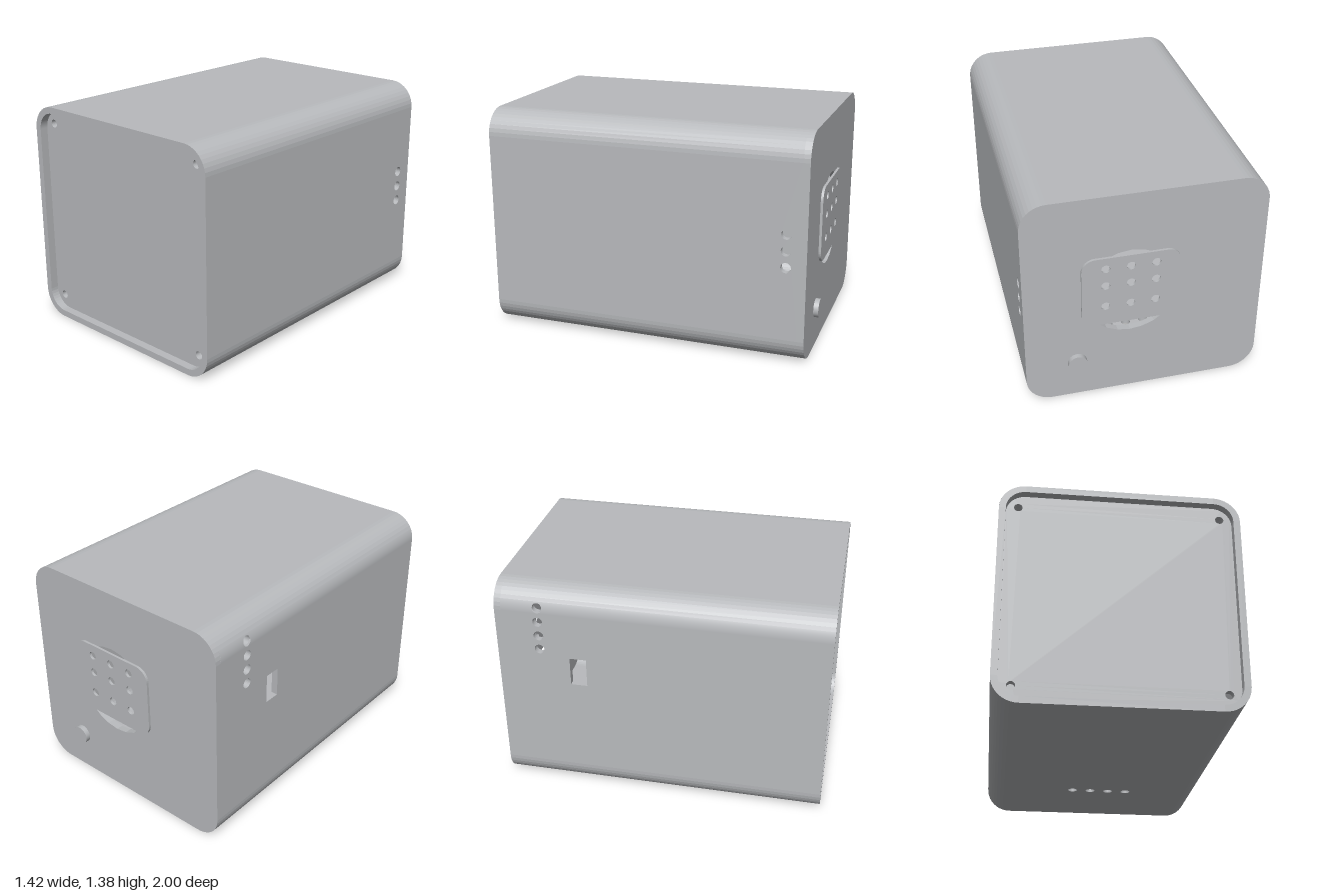
import * as THREE from 'three';
import { ParametricGeometry } from 'three/addons/geometries/ParametricGeometry.js';

const HW = 0.71, H = 1.375, R = 0.155, T = 0.04;   // half width, height, corner radius, wall
const BACK = -0.97, WALL0 = BACK + T, FRONT = 1;
const rad = THREE.MathUtils.degToRad;

export function createModel() {
  const model = new THREE.Group();
  const grey = new THREE.MeshStandardMaterial({ color: 0xb8babd, side: THREE.DoubleSide });
  grey.name = 'caseGrey';

  const add = (name, geo, x = 0, y = 0, z = 0) => {
    const mesh = new THREE.Mesh(geo, grey);
    mesh.name = name;
    mesh.position.set(x, y, z);
    model.add(mesh);
    return mesh;
  };
  const extrude = (shape, depth) =>
    new THREE.ExtrudeGeometry(shape, { depth, bevelEnabled: false, curveSegments: 5 });

  // Rounded rectangle; r = 0 gives a plain one
  const rect = (x0, x1, y0, y1, r) => {
    const s = new THREE.Shape();
    if (!r) return s.moveTo(x0, y0).lineTo(x1, y0).lineTo(x1, y1).lineTo(x0, y1).closePath();
    const q = Math.PI / 2;
    s.absarc(x1 - r, y1 - r, r, 0, q);
    s.absarc(x0 + r, y1 - r, r, q, 2 * q);
    s.absarc(x0 + r, y0 + r, r, 2 * q, 3 * q);
    s.absarc(x1 - r, y0 + r, r, 3 * q, 4 * q);
    return s.closePath();
  };
  const punch = (shape, x, y, r) => {
    const points = Array.from({ length: 24 }, (_, i) => {
      const a = -i * Math.PI / 12;
      return new THREE.Vector2(x + r * Math.cos(a), y + r * Math.sin(a));
    });
    shape.holes.push(new THREE.Path(points));
  };

  // Right wall of the view from +x: three vents
  const leftWall = rect(-FRONT, -WALL0, R, H - R);
  for (const y of [0.6, 0.7, 0.8]) punch(leftWall, 0.85, y, 0.031);
  add('leftWall', extrude(leftWall, T), HW - T).rotation.y = Math.PI / 2;

  // Opposite wall: three indicator holes and a port slot
  const rightWall = rect(WALL0, FRONT, R, H - R);
  for (const y of [0.98, 1.07, 1.162]) punch(rightWall, -0.71, y, 0.03);
  rightWall.holes.push(rect(-0.53, -0.43, 0.755, 0.935));
  add('rightWall', extrude(rightWall, T), -HW + T).rotation.y = -Math.PI / 2;

  // Top and bottom; a row of four holes underneath
  const topWall = rect(R - HW, HW - R, -FRONT, -WALL0);
  add('topWall', extrude(topWall, T), 0, H - T).rotation.x = -Math.PI / 2;
  const bottomWall = rect(R - HW, HW - R, WALL0, FRONT);
  for (let i = 0; i < 4; i++) punch(bottomWall, 0.203 - i * 0.117, -0.447, 0.03);
  add('bottomWall', extrude(bottomWall, T), 0, T).rotation.x = Math.PI / 2;

  // Rounded long edges, nine degrees per facet
  const corner = (name, x, y, from, to) => {
    const n = Math.round((to - from) / 9), pts = [];
    for (const [r, a, b] of [[R, from, to], [R - T, to, from]])
      for (let i = 0; i <= n; i++) {
        const t = rad(a + (b - a) * i / n);
        pts.push(new THREE.Vector2(x + r * Math.cos(t), y + r * Math.sin(t)));
      }
    add(name, extrude(new THREE.Shape(pts), FRONT - WALL0), 0, 0, WALL0);
  };
  corner('topLeftEdge', HW - R, H - R, 0, 90);
  corner('topRightEdge', R - HW, H - R, 90, 153);
  corner('bottomRightEdge', R - HW, R, 180, 270);
  corner('bottomLeftEdge', HW - R, R, 270, 360);

  // Lower part of the top right edge, curved around the highest indicator hole
  const hole = { y: 1.252, z: -0.71, r: 0.03 };
  for (const r of [R, R - T])
    for (const side of [-1, 1])
      add('piercedEdge', new ParametricGeometry((u, v, p) => {
        const a = rad(180 - 27 * v), y = H - R + r * Math.sin(a);
        const half = Math.sqrt(Math.max(0, hole.r ** 2 - (y - hole.y) ** 2));
        const z0 = side < 0 ? WALL0 : hole.z + half;
        const z1 = side < 0 ? hole.z - half : FRONT;
        p.set(R - HW + r * Math.cos(a), y, z0 + (z1 - z0) * u);
      }, 4, 27));
  const bore = new THREE.CylinderGeometry(hole.r, hole.r, 0.035, 24, 1, true).rotateZ(Math.PI / 2);
  add('indicatorBore', bore, -0.68, hole.y, hole.z);
  // Front rim closing the pierced edge
  const rim = [];
  for (const [r, a] of [[R, 153], [R, 162], [R, 171], [R, 180], [R - T, 180], [R - T, 171], [R - T, 162], [R - T, 153]])
    rim.push(new THREE.Vector2(R - HW + r * Math.cos(rad(a)), H - R + r * Math.sin(rad(a))));
  add('edgeRim', new THREE.ShapeGeometry(new THREE.Shape(rim)), 0, 0, FRONT);

  // Back wall with a round opening
  const backWall = rect(-HW, HW, 0, H, R);
  punch(backWall, 0.085, 0.72, 0.285);
  add('backWall', extrude(backWall, T), 0, 0, BACK);

  // Recessed front cover with four screw holes
  const cover = rect(T - HW, HW - T, T, H - T, R - T);
  for (const x of [-0.598, 0.598])
    for (const y of [0.12, 1.257]) punch(cover, x, y, 0.025);
  add('frontCover', extrude(cover, T), 0, 0, 0.95 - T);

  // Perforated plate over the opening
  const plate = rect(-0.205, 0.375, 0.515, 0.98, 0.08);
  for (const x of [-0.06, 0.087, 0.235])
    for (const y of [0.645, 0.79, 0.907]) punch(plate, x, y, 0.026);
  add('speakerPlate', extrude(plate, 0.015), 0, 0, BACK - 0.015);

  // Round push button
  const button = new THREE.CylinderGeometry(0.057, 0.057, 0.05, 32).rotateX(Math.PI / 2);
  add('button', button, 0.403, 0.25, -0.975);

  return model;
}
